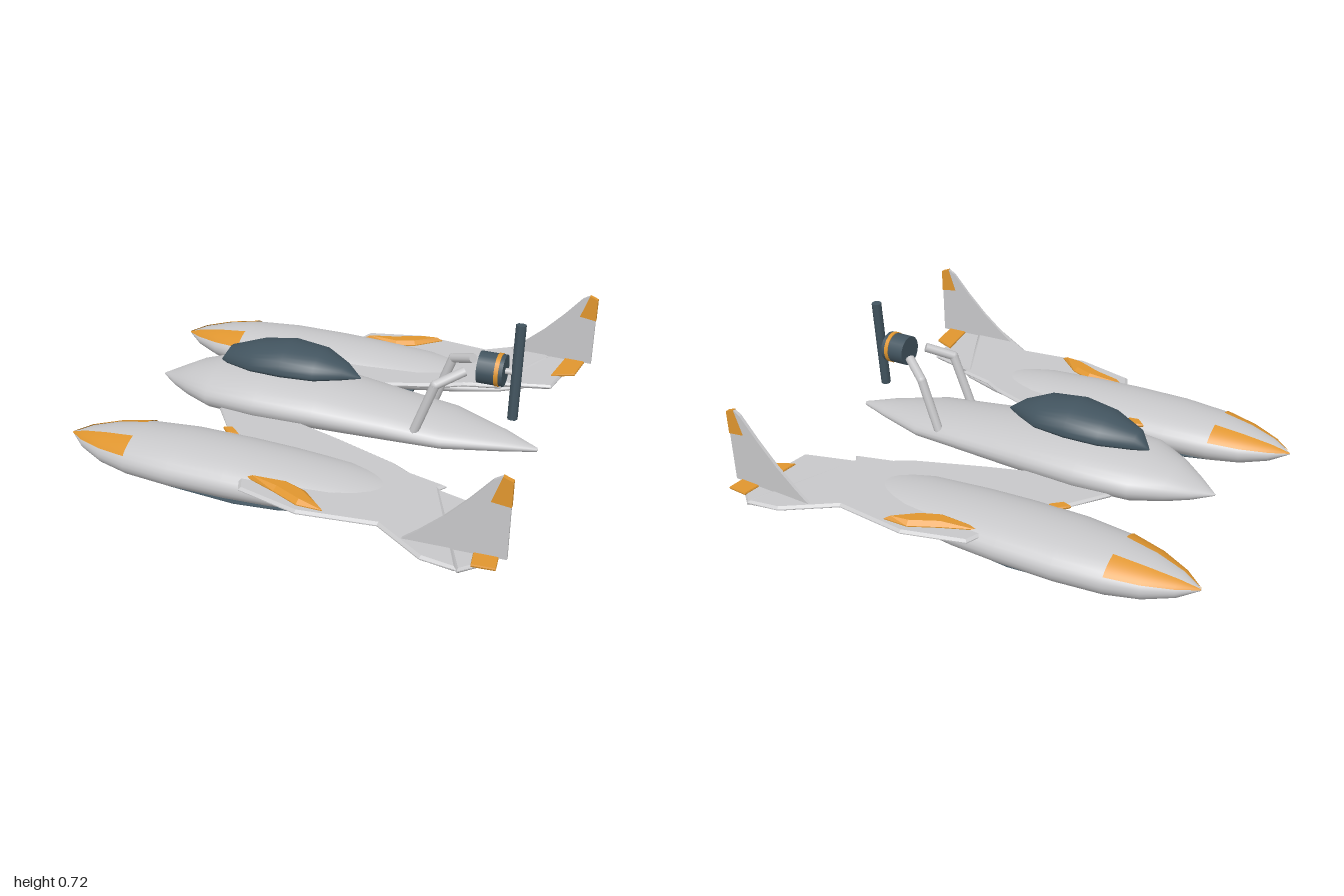
import * as THREE from 'three';

const paint = (name, color, side = THREE.FrontSide) => {
  const m = new THREE.MeshStandardMaterial({ color, side });
  m.name = name;
  return m;
};

// Lofted hull along x. Stations are [x, halfWidth, yBottom, yTop];
// mid sets the height of the widest line, a0..a1 the part of the girth built.
function hull(stations, { z = 0, mid = 0.5, a0 = 0, a1 = Math.PI * 2, grow = 0, seg = 32 } = {}) {
  const closed = a1 - a0 > 6.28;
  const ring = closed ? seg : seg + 1;
  const pos = [], idx = [];
  for (const [x, w, yb, yt] of stations) {
    const yc = yb + mid * (yt - yb);
    for (let j = 0; j < ring; j++) {
      const a = a0 + (a1 - a0) * j / seg, s = Math.sin(a);
      const h = (s > 0 ? yt - yc : yc - yb) + grow;
      pos.push(x, yc + h * s, z + (w + grow) * Math.cos(a));
    }
  }
  for (let i = 0; i < stations.length - 1; i++) {
    for (let j = 0; j < seg; j++) {
      const k = (j + 1) % ring;
      const a = i * ring + j, b = a + ring, c = (i + 1) * ring + k, d = i * ring + k;
      idx.push(a, b, c, a, c, d);
    }
  }
  // End caps
  if (closed) {
    const last = (stations.length - 1) * ring;
    for (let j = 1; j < ring - 1; j++) {
      idx.push(0, j, j + 1, last, last + j + 1, last + j);
    }
  }
  const g = new THREE.BufferGeometry();
  g.setAttribute('position', new THREE.Float32BufferAttribute(pos, 3));
  g.setIndex(idx);
  g.computeVertexNormals();
  return g;
}

const outline = (pts, s = 1) => new THREE.Shape(pts.map(([x, v]) => new THREE.Vector2(x, v * s)));

// Horizontal plate from an x/z outline, with edges thinned by a bevel
function plate(pts, s, yTop, thick, bevel) {
  const b = thick * 0.4;
  const g = new THREE.ExtrudeGeometry(outline(pts, s), {
    depth: thick - 2 * b, bevelEnabled: true, bevelSegments: 1,
    bevelThickness: b, bevelSize: bevel, bevelOffset: -bevel,
  });
  g.rotateX(Math.PI / 2);
  g.translate(0, yTop - b, 0);
  return g;
}

// Round bar between two points
function bar(a, b, r, sides = 10) {
  const p = new THREE.Vector3(...a), q = new THREE.Vector3(...b);
  const d = q.clone().sub(p);
  const g = new THREE.CylinderGeometry(r, r, d.length(), sides);
  g.applyQuaternion(new THREE.Quaternion().setFromUnitVectors(new THREE.Vector3(0, 1, 0), d.normalize()));
  g.translate(...p.add(q).multiplyScalar(0.5).toArray());
  return g;
}

const FUSELAGE = [
  [-0.845, 0.004, 0.196, 0.204], [-0.76, 0.075, 0.17, 0.245], [-0.665, 0.14, 0.15, 0.29],
  [-0.53, 0.21, 0.135, 0.325], [-0.29, 0.235, 0.13, 0.342], [-0.02, 0.22, 0.13, 0.33],
  [0.3, 0.185, 0.133, 0.293], [0.54, 0.165, 0.142, 0.262], [0.78, 0.075, 0.152, 0.218], [0.925, 0.008, 0.16, 0.18],
];
const FLOAT = [
  [-1, 0.003, 0.142, 0.148], [-0.92, 0.07, 0.1, 0.185], [-0.8, 0.13, 0.068, 0.216],
  [-0.66, 0.168, 0.052, 0.238], [-0.45, 0.19, 0.048, 0.248], [-0.2, 0.19, 0.05, 0.247],
  [0, 0.184, 0.06, 0.24], [0.25, 0.165, 0.09, 0.225], [0.46, 0.13, 0.118, 0.2], [0.64, 0.075, 0.14, 0.183], [0.74, 0.01, 0.155, 0.17],
];
const CANOPY = [
  [-0.54, 0.004, 0.33, 0.337], [-0.49, 0.06, 0.333, 0.41], [-0.35, 0.125, 0.338, 0.455], [-0.2, 0.142, 0.34, 0.477],
  [-0.05, 0.125, 0.345, 0.46], [0.06, 0.06, 0.352, 0.415], [0.13, 0.004, 0.357, 0.363],
];
const SKID = [
  [-0.65, 0.035, 0.02, 0.04], [-0.5, 0.062, 0.01, 0.03], [-0.2, 0.075, 0.004, 0.024],
  [0, 0.065, 0.014, 0.034], [0.21, 0.035, 0.042, 0.058],
];
const WING = [
  [-0.47, 0.19], [-0.345, 0.355], [-0.2, 0.6], [-0.13, 0.7], [-0.1, 0.77], [0.17, 0.838], [0.49, 0.8],
  [0.7, 0.94], [0.845, 0.958], [0.64, 0.48], [0.66, 0.45], [0.49, 0.405], [0.41, 0.36], [0.11, 0.255], [-0.1, 0.19],
];
const TAILPLANE = [[0.63, 0.48], [0.87, 0.54], [0.9, 0.72], [0.917, 0.89], [0.845, 0.957]];
const ELEVATOR = [[0.847, 0.636], [0.95, 0.684], [0.976, 0.912], [0.885, 0.92]];
const FAIRING = [[-0.1, 0.69], [0.07, 0.665], [0.16, 0.7], [0.27, 0.8], [0.16, 0.8], [0.04, 0.745]];
const ROOT_MARK = [[-0.36, 0.37], [-0.32, 0.355], [-0.27, 0.4], [-0.32, 0.41]];
const FIN = [[0.6, 0.2], [0.67, 0.255], [0.76, 0.335], [0.85, 0.43], [0.93, 0.525], [0.96, 0.543], [0.998, 0.53], [0.998, 0.2]];
const RUDDER = [[0.925, 0.435], [0.962, 0.545], [1, 0.53], [1, 0.425]];

export function createModel() {
  const grey = paint('hull grey', 0xc8c8ca);
  const dark = paint('slate', 0x42545f);
  const orange = paint('orange', 0xe0962f);
  const orangeSkin = paint('orange skin', 0xe0962f, THREE.DoubleSide);

  const model = new THREE.Group();
  model.name = 'seaplane';
  const add = (name, geo, mat, parent = model) => {
    const m = new THREE.Mesh(geo, mat);
    m.name = name;
    parent.add(m);
    return m;
  };

  // Central body
  add('fuselage', hull(FUSELAGE), grey);
  add('canopy', hull(CANOPY, { mid: 0.3 }), dark);

  for (const s of [1, -1]) {
    const side = s > 0 ? 'left' : 'right';
    const half = new THREE.Group();
    half.name = side + 'Side';
    model.add(half);

    // Float with painted nose panels and a skid beneath
    const z = 0.55 * s;
    add('float', hull(FLOAT, { z }), grey, half);
    for (const [a0, a1] of [[0.45, 1.2], [Math.PI - 1.2, Math.PI - 0.45]]) {
      add('nosePanel', hull(FLOAT.slice(0, 4), { z, a0, a1, grow: 0.004, seg: 10 }), orangeSkin, half);
    }
    add('skid', hull(SKID, { z, seg: 16 }), dark, half);

    // Wing and its orange details
    add('wing', plate(WING, s, 0.204, 0.022, 0.012), grey, half);
    add('tailplane', plate(TAILPLANE, s, 0.198, 0.022, 0.008), grey, half);
    add('elevator', plate(ELEVATOR, s, 0.206, 0.012, 0.002), orange, half);
    add('wingFairing', plate(FAIRING, s, 0.224, 0.04, 0.02), orange, half);
    add('wingRootMark', plate(ROOT_MARK, s, 0.214, 0.016, 0.004), orange, half);

    // Upright fin, toed slightly
    const fin = new THREE.Group();
    fin.name = 'fin';
    fin.position.set(0.8, 0, 0.842 * s);
    fin.rotation.y = 0.045 * s;
    half.add(fin);
    for (const [name, pts, t, mat] of [['finPanel', FIN, 0.014, grey], ['rudder', RUDDER, 0.02, orange]]) {
      const g = new THREE.ExtrudeGeometry(outline(pts), { depth: t, bevelEnabled: false });
      g.translate(-0.8, 0, -t / 2);
      add(name, g, mat, fin);
    }

    // Engine strut: post, elbow and arm
    const foot = [0.42, 0.225, 0.142 * s], knee = [0.505, 0.465, 0.135 * s], tip = [0.61, 0.515, 0.065 * s];
    add('strutPost', bar(foot, knee, 0.021), grey, half);
    add('strutArm', bar(knee, tip, 0.021), grey, half);
    const elbow = new THREE.SphereGeometry(0.021, 10, 8);
    elbow.translate(...knee);
    add('strutElbow', elbow, grey, half);
  }

  // Engine and propeller
  const y = 0.515;
  add('engine', bar([0.655, y, 0], [0.765, y, 0], 0.068, 16), dark);
  add('engineBand', bar([0.73, y, 0], [0.748, y, 0], 0.071, 16), orange);
  add('propellerShaft', bar([0.76, y, 0], [0.8, y, 0], 0.013), grey);
  add('propeller', bar([0.812, 0.307, 0.016], [0.812, 0.725, -0.014], 0.022, 8), dark);

  return model;
}
